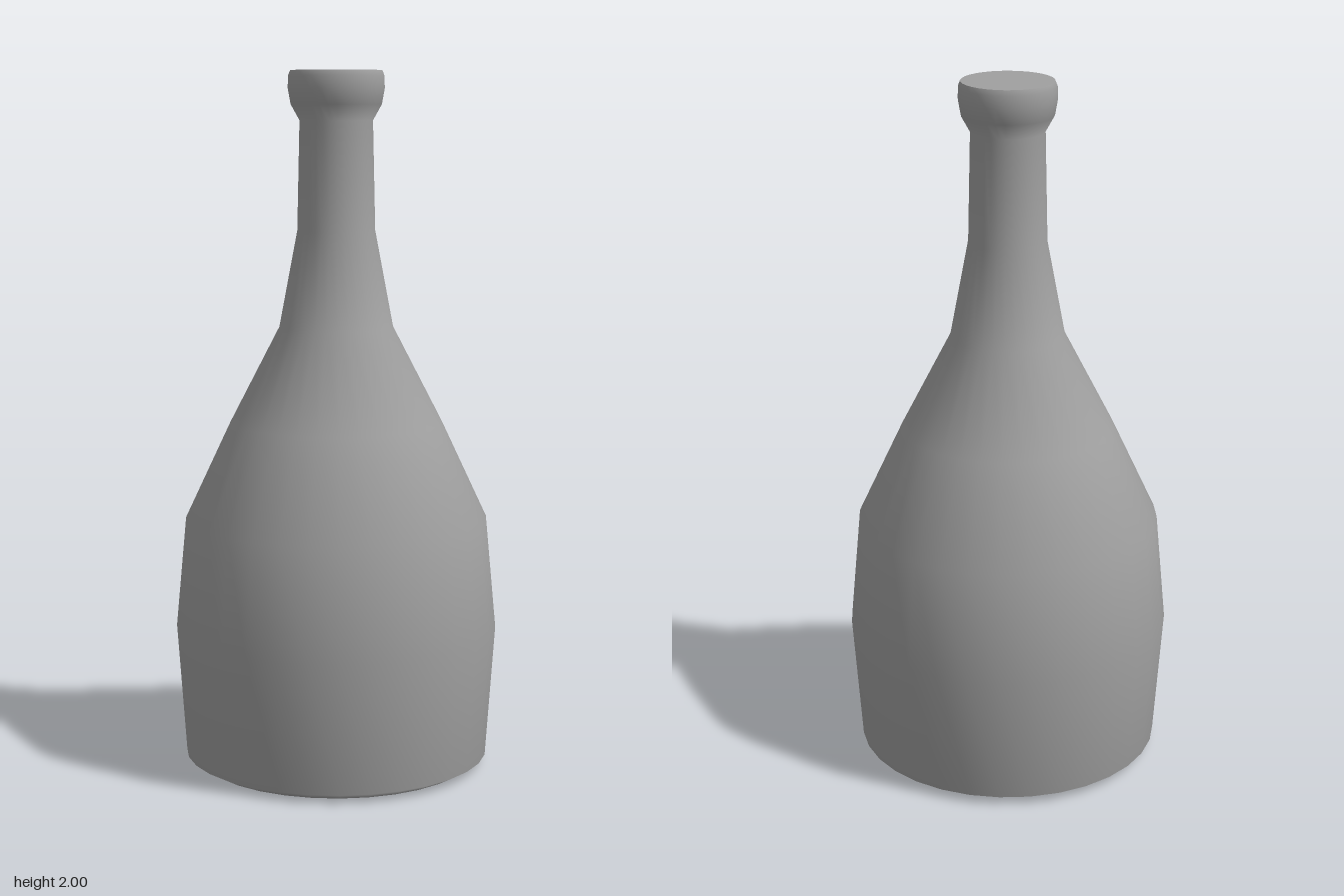
import * as THREE from 'three';

const SIDES = 32;

// Revolves a list of [radius, height] pairs, listed from bottom to top.
function lathe(name, profile, material) {
  const points = profile.map(([r, y]) => new THREE.Vector2(r, y));
  const mesh = new THREE.Mesh(new THREE.LatheGeometry(points, SIDES), material);
  mesh.name = name;
  return mesh;
}

export function createModel() {
  const group = new THREE.Group();
  group.name = 'bottle';
  const grey = new THREE.MeshStandardMaterial({ color: 0xa0a0a0 });
  grey.name = 'grey';

  // Base, bulging belly, sloping shoulder, neck and rounded lip
  group.add(lathe('bottleBody', [
    [0, 0], [0.385, 0], [0.4, 0.003], [0.44, 0.025],
    [0.466, 0.4], [0.436, 0.72],
    [0.305, 1.0], [0.163, 1.275], [0.111, 1.55],
    [0.104, 1.86], [0.129, 1.905], [0.137, 1.95], [0.136, 1.985], [0.13, 2],
  ], grey));

  // Flat closed top with a crisp edge
  const top = new THREE.Mesh(new THREE.CircleGeometry(0.13, SIDES), grey);
  top.name = 'bottleTop';
  top.rotation.x = -Math.PI / 2;
  top.position.y = 2;
  group.add(top);

  return group;
}
